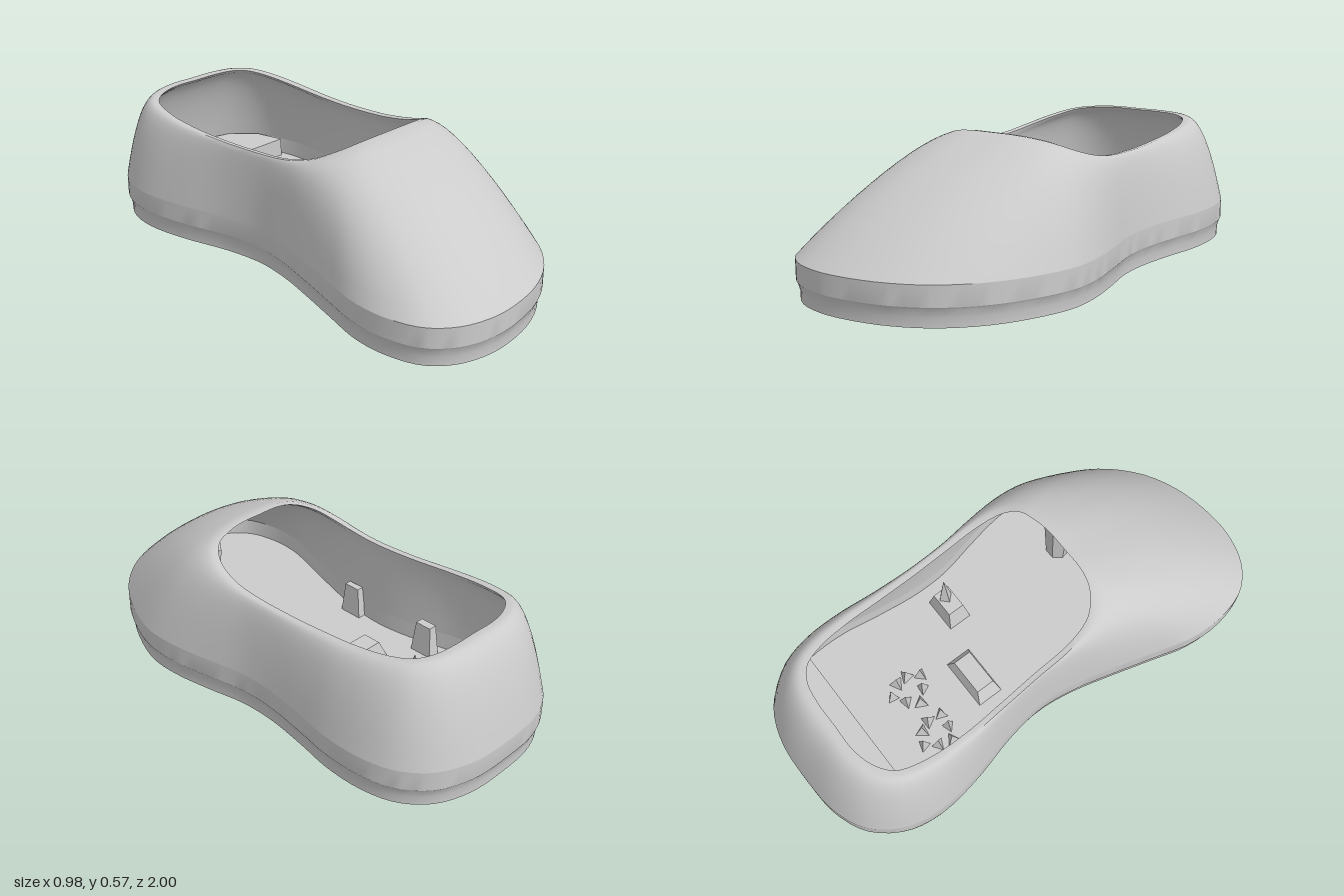
import * as THREE from 'three';
import { toCreasedNormals } from 'three/addons/utils/BufferGeometryUtils.js';

const N = 112;          // points around each ring
const FLOOR = 0.07;
const WALL = 0.022;

// widest outline and matching points of the ankle opening, as [x, z]
const OUTLINE = [
  [-0.12, 1], [0.05, 0.97], [0.2, 0.9], [0.33, 0.78], [0.42, 0.63], [0.48, 0.45], [0.48, 0.3], [0.45, 0.13],
  [0.415, -0.03], [0.41, -0.18], [0.43, -0.36], [0.455, -0.53], [0.45, -0.7], [0.41, -0.83], [0.32, -0.93], [0.18, -0.985],
  [0, -0.995], [-0.17, -0.98], [-0.3, -0.92], [-0.39, -0.8], [-0.42, -0.65], [-0.395, -0.45], [-0.345, -0.25], [-0.325, -0.08],
  [-0.345, 0.08], [-0.39, 0.25], [-0.44, 0.42], [-0.485, 0.58], [-0.49, 0.73], [-0.45, 0.87], [-0.36, 0.955], [-0.24, 0.995],
];
const OPENING = [
  [0.02, 0.31], [0.09, 0.31], [0.15, 0.305], [0.2, 0.295], [0.25, 0.28], [0.29, 0.25], [0.325, 0.19], [0.345, 0.08],
  [0.345, -0.05], [0.34, -0.2], [0.335, -0.38], [0.33, -0.53], [0.31, -0.67], [0.27, -0.76], [0.2, -0.805], [0.1, -0.82],
  [0, -0.82], [-0.12, -0.82], [-0.22, -0.79], [-0.29, -0.73], [-0.325, -0.6], [-0.33, -0.43], [-0.315, -0.24], [-0.302, -0.08],
  [-0.297, 0.05], [-0.285, 0.14], [-0.26, 0.21], [-0.215, 0.26], [-0.165, 0.29], [-0.11, 0.305], [-0.06, 0.31], [-0.02, 0.31],
];

function sample(points) {
  const curve = new THREE.CatmullRomCurve3(points.map(([x, z]) => new THREE.Vector3(x, 0, z)), true);
  return Array.from({ length: N }, (_, i) => curve.getPoint(i / N));
}

// move a closed ring inwards along its horizontal normals
function inset(ring, d, drop = 0) {
  return ring.map((p, i) => {
    const a = ring[(i + N - 1) % N], b = ring[(i + 1) % N];
    const n = new THREE.Vector3(b.z - a.z, 0, a.x - b.x).normalize();
    return p.clone().addScaledVector(n, d).setY(p.y - drop);
  });
}

const atHeight = (ring, y) => ring.map((p) => p.clone().setY(y));
const centre = (y) => Array.from({ length: N }, () => new THREE.Vector3(0.02, y, 0));

// skin over a list of rings, each running from toe to +x to heel
function loft(rings, crease) {
  const pos = [], idx = [];
  rings.forEach((r) => r.forEach((p) => pos.push(p.x, p.y, p.z)));
  for (let j = 0; j < rings.length - 1; j++) {
    for (let i = 0; i < N; i++) {
      const k = (i + 1) % N;
      const a = j * N + i, b = j * N + k, c = a + N, d = b + N;
      idx.push(a, b, d, a, d, c);
    }
  }
  const g = new THREE.BufferGeometry();
  g.setAttribute('position', new THREE.Float32BufferAttribute(pos, 3));
  g.setIndex(idx);
  return toCreasedNormals(g, crease);
}

// opening dips at the waist, rises to the tongue and heel
function rimHeight(z) {
  return z > -0.2
    ? 0.46 + 0.105 * ((z + 0.2) / 0.51) ** 3
    : 0.46 + 0.055 * ((-0.2 - z) / 0.62) ** 1.6;
}

export function createModel() {
  const model = new THREE.Group();
  const material = new THREE.MeshStandardMaterial({ color: 0xcccccc, side: THREE.DoubleSide });
  const faceted = new THREE.MeshStandardMaterial({ color: 0xcccccc, flatShading: true, side: THREE.DoubleSide });
  const add = (name, geometry, mat = material, x = 0, y = 0, z = 0) => {
    const mesh = new THREE.Mesh(geometry, mat);
    mesh.name = name;
    mesh.position.set(x, y, z);
    model.add(mesh);
    return mesh;
  };

  const outline = sample(OUTLINE);
  const opening = sample(OPENING);

  // ring at fraction h of the way from the welt to the opening
  const upperRing = (h) => outline.map((p, i) => {
    const q = opening[i];
    const bulge = THREE.MathUtils.mapLinear(THREE.MathUtils.clamp(p.z, 0.2, 0.9), 0.2, 0.9, 1, 0.5);
    const rise = h * (1 + bulge - bulge * h);
    return new THREE.Vector3(
      THREE.MathUtils.lerp(p.x, q.x, h),
      THREE.MathUtils.lerp(0.155, rimHeight(q.z), rise),
      THREE.MathUtils.lerp(p.z, q.z, h));
  });

  // sole with its stepped welt and flat underside
  const foot = inset(outline, 0.014);
  add('sole', loft([
    centre(0), foot, atHeight(foot, 0.035), atHeight(inset(outline, 0.004), 0.07),
    atHeight(outline, 0.076), atHeight(outline, 0.155),
  ], 0.45));

  // upper: outer skin, rim and inner lining
  const steps = 12;
  const outer = [], lining = [];
  for (let s = 0; s <= steps; s++) {
    const ring = upperRing(s / steps);
    outer.push(ring);
    lining.unshift(inset(ring, WALL, s === steps ? 0.003 : 0.015));
  }
  add('upper', loft([...outer, ...lining], 0.6));
  const base = inset(outline, WALL);
  add('insole', loft([lining[steps], atHeight(base, FLOOR), centre(FLOOR)], 0.5));

  // low shelf inside the heel
  const shelf = new THREE.Shape([
    [-0.37, 0.7], [0.4, 0.7], [0.37, 0.83], [0.28, 0.92], [0.16, 0.955], [-0.15, 0.955], [-0.27, 0.89], [-0.35, 0.8],
  ].map(([x, y]) => new THREE.Vector2(x, y)));
  add('heelShelf', new THREE.ExtrudeGeometry(shelf, { depth: 0.08, bevelEnabled: false })
    .rotateX(-Math.PI / 2), faceted, 0, FLOOR, 0);

  // jagged fans of wedges on the insole
  for (const [cx, cz, turn] of [[-0.14, -0.47, 0], [0.07, -0.45, 0.4]]) {
    for (let i = 0; i < 7; i++) {
      const a = turn + (i / 7) * Math.PI * 2;
      const r = 0.055 + 0.02 * (i % 2);
      const wedge = add('insoleWedge', new THREE.ConeGeometry(0.035, 0.07 + 0.02 * (i % 3), 3), faceted,
        cx + Math.cos(a) * r, FLOOR + 0.03, cz + Math.sin(a) * r);
      wedge.rotation.y = -a;
    }
  }

  // tapered blocks left on the insole and along the walls: x, z, width, height, depth
  for (const [x, z, w, h, d] of [
    [-0.05, -0.21, 0.22, 0.07, 0.11], [0.25, -0.11, 0.15, 0.1, 0.1],
    [-0.29, -0.35, 0.05, 0.13, 0.1], [-0.295, 0.05, 0.04, 0.13, 0.1],
  ]) {
    const g = new THREE.CylinderGeometry(0.5, Math.SQRT1_2, 1, 4).rotateY(Math.PI / 4).scale(w, h, d);
    add('insoleBlock', g, faceted, x, FLOOR + h / 2, z);
  }
  add('blockSpike', new THREE.ConeGeometry(0.03, 0.17, 4), faceted, 0.27, FLOOR + 0.18, -0.11);

  // rough column holding up the toe cover
  add('toeColumn', new THREE.CylinderGeometry(0.07, 0.05, 0.36, 7), faceted, 0.19, FLOOR + 0.18, 0.42);

  return model;
}
